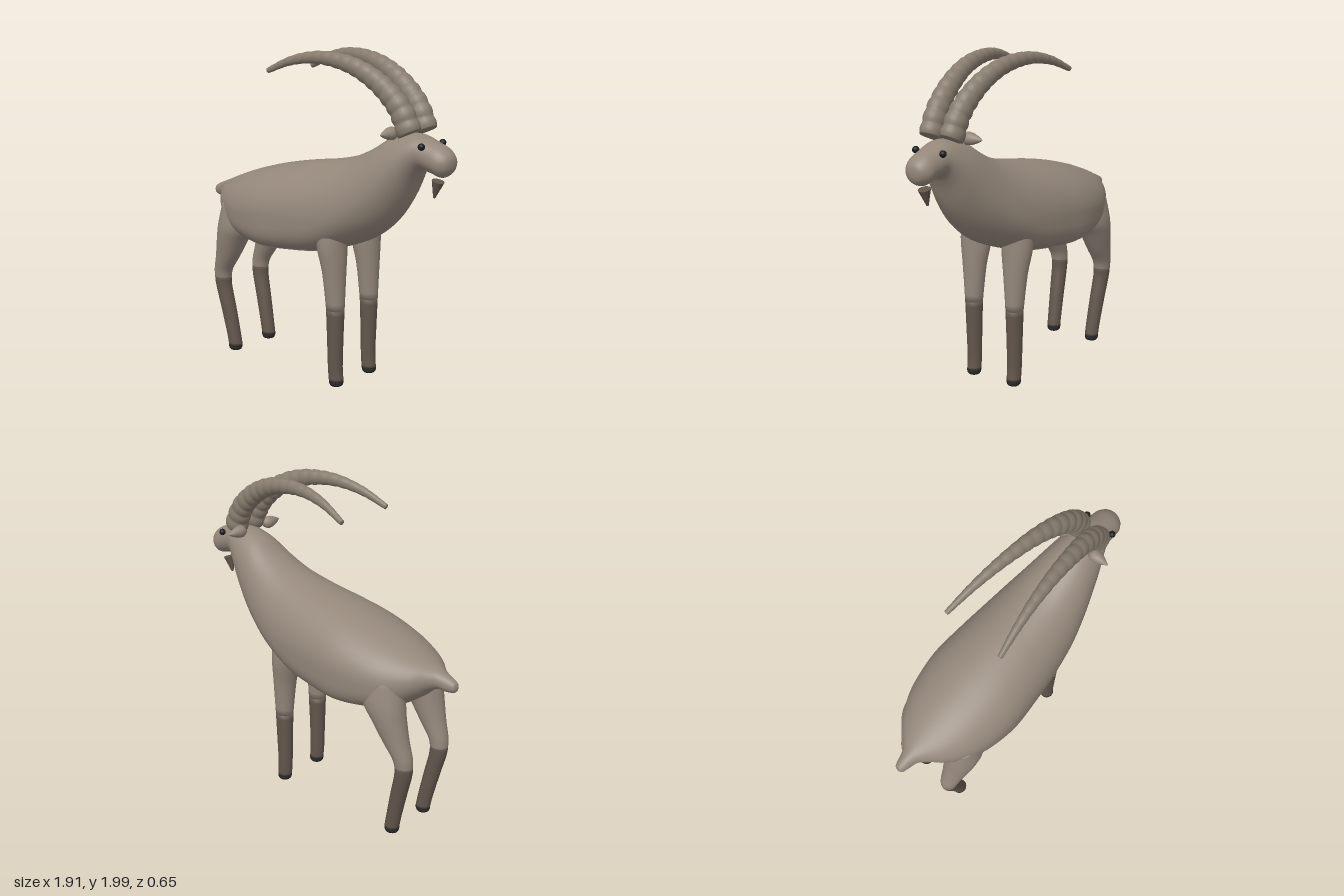
import * as THREE from 'three';

const COAT = 0x94877a, SHANK = 0x62564c, HOOF = 0x2c2a28, BELLY = 0xb9b5ac, HORN = 0x877c6e, DARK = 0x1c1b1b;

function addMesh(parent, name, geometry, color) {
  const material = new THREE.MeshStandardMaterial({ color });
  const mesh = new THREE.Mesh(geometry, material);
  mesh.name = name;
  parent.add(mesh);
  return mesh;
}

// Smooth rows of numbers: uniform spline through the stations, column by column
function smoothRows(rows, steps) {
  const out = [];
  const n = rows.length - 1;
  for (let i = 0; i <= n * steps; i++) {
    const k = Math.min(Math.floor(i / steps), n - 1), t = i / steps - k;
    const p = [k - 1, k, k + 1, k + 2].map(j => rows[Math.max(0, Math.min(n, j))]);
    out.push(rows[0].map((_, c) => {
      const [a, b, d, e] = p.map(r => r[c]);
      return b + 0.5 * t * (d - a + t * (2 * a - 5 * b + 4 * d - e + t * (3 * (b - d) + e - a)));
    }));
  }
  return out;
}

// Skin over closed rings with end caps
function loft(rings) {
  const seg = rings[0].length, pos = [], index = [];
  rings.forEach(r => r.forEach(p => pos.push(p.x, p.y, p.z)));
  for (let i = 0; i < rings.length - 1; i++) {
    for (let j = 0; j < seg; j++) {
      const a = i * seg + j, b = i * seg + (j + 1) % seg;
      index.push(a, b, a + seg, b, b + seg, a + seg);
    }
  }
  [0, rings.length - 1].forEach(i => {
    const c = new THREE.Vector3();
    rings[i].forEach(p => c.addScaledVector(p, 1 / seg));
    const centre = pos.length / 3;
    pos.push(c.x, c.y, c.z);
    for (let j = 0; j < seg; j++) {
      const a = i * seg + j, b = i * seg + (j + 1) % seg;
      if (i === 0) index.push(centre, b, a); else index.push(centre, a, b);
    }
  });
  const g = new THREE.BufferGeometry();
  g.setAttribute('position', new THREE.Float32BufferAttribute(pos, 3));
  g.setIndex(index);
  g.computeVertexNormals();
  return g;
}

// Tail, trunk, neck and head: x, top, bottom, half width, height of widest point (0..1), squareness of underside
const trunkStations = [
  [-0.957, 1.01, 0.99, 0.008, 0.5, 1], [-0.945, 1.033, 0.972, 0.028, 0.5, 1],
  [-0.90, 1.055, 0.963, 0.042, 0.5, 1], [-0.85, 1.075, 0.968, 0.06, 0.5, 1],
  [-0.80, 1.095, 0.94, 0.105, 0.5, 1], [-0.74, 1.12, 0.885, 0.17, 0.48, 0.95],
  [-0.64, 1.16, 0.82, 0.24, 0.47, 0.8], [-0.50, 1.21, 0.785, 0.295, 0.46, 0.65],
  [-0.30, 1.267, 0.767, 0.325, 0.46, 0.55], [-0.10, 1.31, 0.775, 0.315, 0.44, 0.6],
  [0.10, 1.345, 0.80, 0.295, 0.42, 0.7], [0.28, 1.39, 0.86, 0.267, 0.40, 0.9],
  [0.42, 1.455, 0.93, 0.23, 0.42, 1], [0.54, 1.53, 1.03, 0.19, 0.45, 1],
  [0.64, 1.563, 1.165, 0.153, 0.5, 1], [0.71, 1.57, 1.31, 0.122, 0.5, 1],
  [0.76, 1.563, 1.372, 0.102, 0.5, 1], [0.83, 1.54, 1.362, 0.092, 0.5, 1],
  [0.89, 1.518, 1.348, 0.087, 0.5, 1], [0.93, 1.49, 1.368, 0.064, 0.5, 1],
  [0.947, 1.467, 1.398, 0.038, 0.5, 1], [0.952, 1.445, 1.425, 0.011, 0.5, 1]
];

function buildTrunk(parent) {
  const seg = 48;
  const rings = smoothRows(trunkStations, 5).map(([x, top, bottom, w, m, q]) => {
    const mid = bottom + (top - bottom) * m;
    return Array.from({ length: seg }, (_, j) => {
      const a = j / seg * Math.PI * 2, s = Math.sin(a), c = Math.cos(a);
      const e = s < 0 ? q : 1;
      const z = Math.sign(c) * Math.pow(Math.abs(c), e) * w;
      const y = s < 0 ? mid - Math.pow(-s, e) * (mid - bottom) : mid + s * (top - mid);
      return new THREE.Vector3(x, y, -z);
    });
  });
  const whole = loft(rings), coat = [], belly = [];
  const p = whole.attributes.position, nrm = whole.attributes.normal, idx = whole.index.array;
  // Pale underside shares the skin of the trunk
  for (let i = 0; i < idx.length; i += 3) {
    const tri = [idx[i], idx[i + 1], idx[i + 2]];
    const under = tri.every(v => nrm.getY(v) < -0.85 && p.getX(v) > -0.6 && p.getX(v) < 0.16);
    (under ? belly : coat).push(...tri);
  }
  [['bodyAndHead', coat, COAT], ['belly', belly, BELLY]].forEach(([name, list, color]) => {
    const g = whole.clone();
    g.setIndex(list);
    addMesh(parent, name, g, color);
  });
}

// Leg stations from the top down: y, x, x radius, z, z radius
const legs = {
  front: {
    upper: [[1.0, 0.20, 0.09, 0.15, 0.09], [0.86, 0.208, 0.083, 0.15, 0.098], [0.70, 0.226, 0.067, 0.15, 0.075], [0.48, 0.235, 0.057, 0.15, 0.053]],
    lower: [[0.48, 0.235, 0.057, 0.15, 0.053], [0.30, 0.235, 0.05, 0.15, 0.048], [0.12, 0.235, 0.045, 0.149, 0.044], [0.04, 0.242, 0.045, 0.149, 0.043]],
    hoof: [[0.04, 0.242, 0.045, 0.149, 0.043], [0.02, 0.243, 0.044, 0.149, 0.042], [0.006, 0.243, 0.036, 0.149, 0.035], [0, 0.243, 0.022, 0.149, 0.022]]
  },
  rear: {
    upper: [[1.0, -0.56, 0.13, 0.16, 0.10], [0.86, -0.58, 0.135, 0.172, 0.11], [0.76, -0.622, 0.108, 0.175, 0.097], [0.64, -0.673, 0.083, 0.172, 0.075], [0.54, -0.722, 0.062, 0.168, 0.058], [0.48, -0.733, 0.055, 0.165, 0.052]],
    lower: [[0.48, -0.733, 0.055, 0.165, 0.052], [0.42, -0.728, 0.053, 0.163, 0.05], [0.28, -0.695, 0.05, 0.157, 0.047], [0.12, -0.66, 0.046, 0.151, 0.044], [0.04, -0.645, 0.045, 0.149, 0.043]],
    hoof: [[0.04, -0.645, 0.045, 0.149, 0.043], [0.02, -0.645, 0.044, 0.149, 0.042], [0.006, -0.645, 0.036, 0.149, 0.035], [0, -0.645, 0.022, 0.149, 0.022]]
  }
};

function legPart(rows, side) {
  const seg = 24;
  return loft(smoothRows(rows, 4).map(([y, x, rx, z, rz]) =>
    Array.from({ length: seg }, (_, j) => {
      const a = j / seg * Math.PI * 2;
      return new THREE.Vector3(x + Math.cos(a) * rx, y, z * side + Math.sin(a) * rz);
    })));
}

// Swept horn with overlapping growth rings that fade toward the tip
function hornGeometry(side) {
  const path = new THREE.CatmullRomCurve3([
    [0.705, 1.575, 0.07], [0.64, 1.705, 0.077], [0.52, 1.82, 0.09], [0.36, 1.905, 0.108],
    [0.20, 1.942, 0.125], [0.04, 1.945, 0.144], [-0.12, 1.912, 0.166], [-0.272, 1.848, 0.189]
  ].map(([x, y, z]) => new THREE.Vector3(x, y, z * side)));
  const steps = 160, seg = 24, ridges = 17, rings = [];
  const across = new THREE.Vector3(0, 0, 1);
  for (let i = 0; i <= steps; i++) {
    const t = i / steps, c = path.getPointAt(t), tan = path.getTangentAt(t);
    const u = new THREE.Vector3().crossVectors(across, tan).normalize();
    const v = new THREE.Vector3().crossVectors(tan, u);
    const bump = Math.abs(Math.sin(t * ridges * Math.PI)) - 0.6;
    const r = (0.074 - 0.058 * Math.pow(t, 1.15)) * (1 + 0.11 * bump * (1 - 0.5 * t));
    rings.push(Array.from({ length: seg }, (_, j) => {
      const a = j / seg * Math.PI * 2;
      return c.clone().addScaledVector(u, Math.cos(a) * r).addScaledVector(v, Math.sin(a) * r * 0.88);
    }));
  }
  return loft(rings);
}

export function createModel() {
  const model = new THREE.Group();
  model.name = 'hornedGoat';
  buildTrunk(model);

  [1, -1].forEach(side => {
    const tag = side > 0 ? 'NearSide' : 'FarSide';
    Object.entries(legs).forEach(([place, parts]) => {
      const leg = new THREE.Group();
      leg.name = place + 'Leg' + tag;
      addMesh(leg, 'upperLeg', legPart(parts.upper, side), COAT);
      addMesh(leg, 'lowerLeg', legPart(parts.lower, side), SHANK);
      addMesh(leg, 'hoof', legPart(parts.hoof, side), HOOF);
      model.add(leg);
    });

    addMesh(model, 'horn' + tag, hornGeometry(side), HORN);

    // Pointed ear with a rounded root
    const earProfile = [[0, -0.02], [0.025, -0.012], [0.038, 0.012], [0.034, 0.045], [0.018, 0.085], [0, 0.115]]
      .map(([r, y]) => new THREE.Vector2(r, y));
    const ear = addMesh(model, 'ear' + tag, new THREE.LatheGeometry(earProfile, 20), COAT);
    ear.position.set(0.617, 1.573, side * 0.1);
    ear.rotation.x = side * Math.PI / 2;

    addMesh(model, 'eye' + tag, new THREE.SphereGeometry(0.02, 16, 12), DARK)
      .position.set(0.807, 1.518, side * 0.094);
  });

  // Beard: tapered tuft pointing down and back
  const beard = addMesh(model, 'beard', new THREE.CylinderGeometry(0.036, 0.006, 0.1, 20), SHANK);
  beard.position.set(0.842, 1.274, 0);
  beard.rotation.z = -0.25;
  return model;
}
